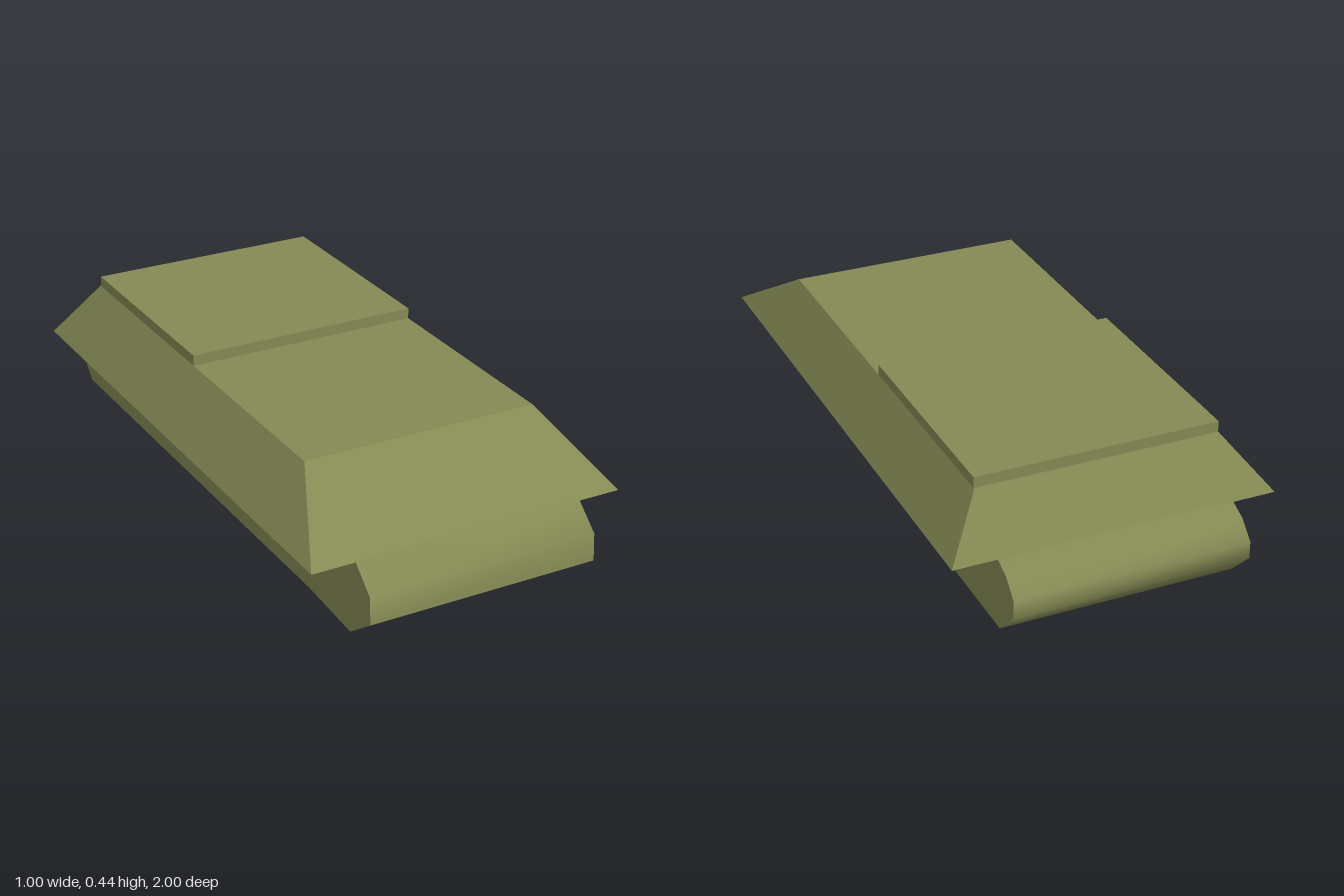
import * as THREE from 'three';
import { toCreasedNormals } from 'three/addons/utils/BufferGeometryUtils.js';

// Closed block with a rectangular base and a smaller rectangular top; [x0, x1, z0, z1, y]
function taperedBlock(base, top) {
  const ring = ([x0, x1, z0, z1, y]) => [[x0, y, z1], [x1, y, z1], [x1, y, z0], [x0, y, z0]];
  const b = ring(base), t = ring(top);
  const pos = [];
  const quad = (p, q, r, s) => pos.push(...p, ...q, ...r, ...p, ...r, ...s);
  for (let i = 0; i < 4; i++) {
    const j = (i + 1) % 4;
    quad(b[i], b[j], t[j], t[i]);
  }
  quad(...t);
  quad(b[3], b[2], b[1], b[0]);
  const geo = new THREE.BufferGeometry();
  geo.setAttribute('position', new THREE.Float32BufferAttribute(pos, 3));
  geo.computeVertexNormals();
  return geo;
}

export function createModel() {
  const group = new THREE.Group();
  const olive = new THREE.MeshStandardMaterial({ color: 0x858a54 });
  olive.name = 'olive paint';

  const add = (name, geo) => {
    const mesh = new THREE.Mesh(geo, olive);
    mesh.name = name;
    group.add(mesh);
  };

  // Lower hull: side profile (z, y) extruded across, smooth around the ends
  const profile = [
    [0.89, 0], [1, 0.08], [0.995, 0.165], [0.915, 0.235],
    [-0.89, 0.235], [-0.95, 0.21], [-1, 0.16], [-1, 0.105],
    [-0.91, 0.015], [0.65, 0.015],
  ].map(([z, y]) => new THREE.Vector2(z, y));
  const hull = new THREE.ExtrudeGeometry(new THREE.Shape(profile), { depth: 0.73, bevelEnabled: false });
  hull.translate(0, 0, -0.365).rotateY(-Math.PI / 2);
  add('lowerHull', toCreasedNormals(hull, 1));

  // Upper hull: sloped armour overhanging the lower hull
  add('upperHull', taperedBlock(
    [-0.5, 0.5, -0.895, 0.915, 0.232],
    [-0.365, 0.39, -0.795, 0.625, 0.406],
  ));

  // Raised rear deck
  const deck = new THREE.BoxGeometry(0.755, 0.036, 0.705);
  deck.translate(0.0125, 0.422, -0.437);
  add('rearDeck', deck);

  return group;
}
